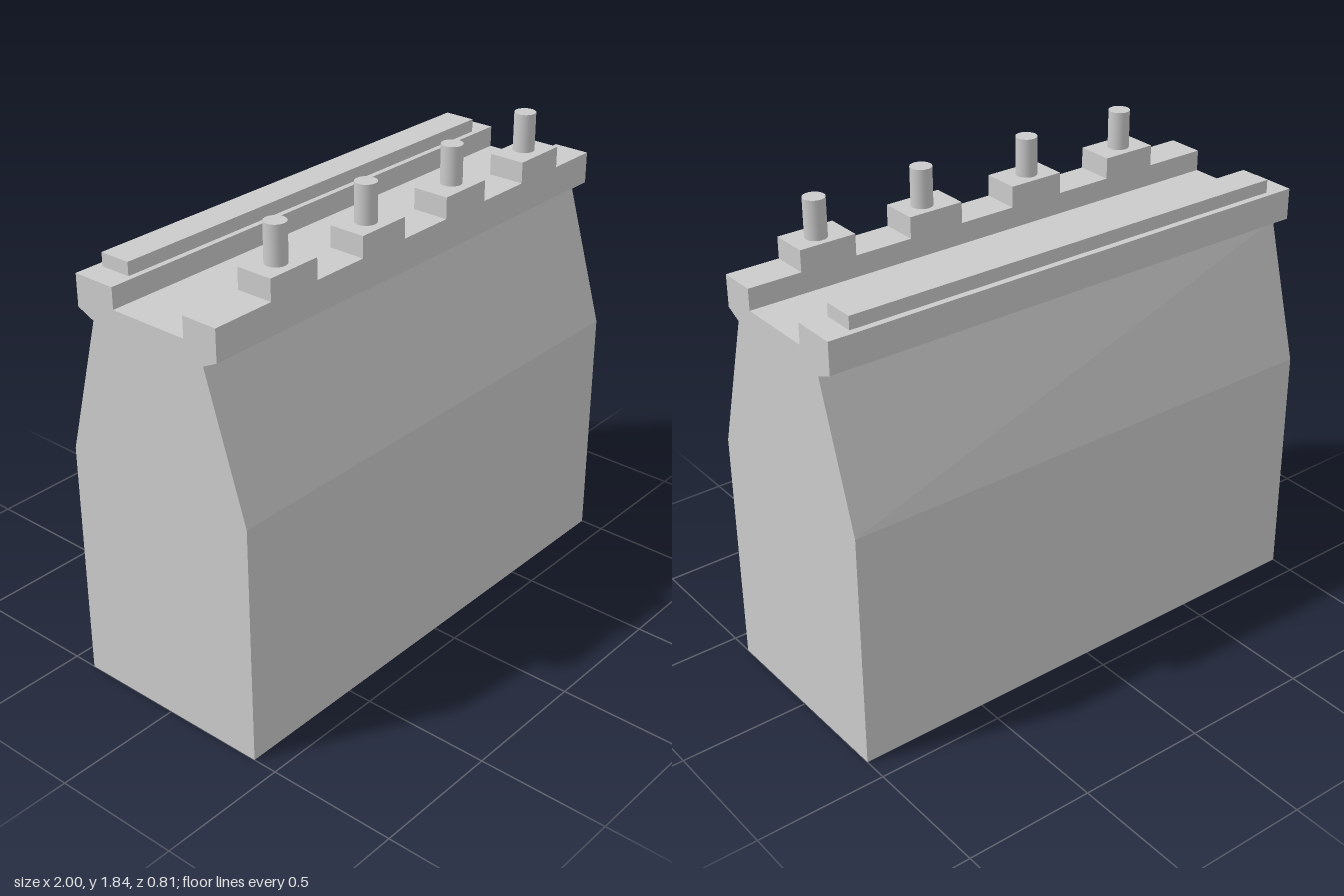
import * as THREE from 'three';

const grey = new THREE.MeshStandardMaterial({ color: 0xcccccc });

// The rails run very slightly askew along the length of the body
function skew(geometry) {
  const p = geometry.attributes.position;
  for (let i = 0; i < p.count; i++) {
    if (p.getY(i) < 1) continue;
    const z = p.getZ(i);
    p.setZ(i, z + p.getX(i) * (z < 0 ? 0.01 : 0.005));
  }
  geometry.computeVertexNormals();
  return geometry;
}

function addMesh(parent, name, geometry) {
  const mesh = new THREE.Mesh(geometry, grey);
  mesh.name = name;
  parent.add(mesh);
  return mesh;
}

// Box given by its limits on each axis
function boxBetween(x0, x1, y0, y1, z0, z1) {
  return new THREE.BoxGeometry(x1 - x0, y1 - y0, z1 - z0)
    .translate((x0 + x1) / 2, (y0 + y1) / 2, (z0 + z1) / 2);
}

export function createModel() {
  const model = new THREE.Group();
  model.name = 'wallSection';

  // Body with tapered shoulders, necks, two rails and the channel between: [z, y]
  const profile = [
    [0.405, 0], [-0.405, 0], [-0.405, 0.93], [-0.25, 1.46], [-0.32, 1.49],
    [-0.32, 1.61], [-0.15, 1.61], [-0.15, 1.53], [0.163, 1.53], [0.163, 1.61],
    [0.305, 1.61], [0.305, 1.49], [0.245, 1.46], [0.405, 0.93],
  ];
  const shape = new THREE.Shape(profile.map(([z, y]) => new THREE.Vector2(-z, y)));
  const body = new THREE.ExtrudeGeometry(shape, { depth: 2, bevelEnabled: false })
    .translate(0, 0, -1)
    .rotateY(Math.PI / 2);
  addMesh(model, 'body', skew(body));

  // Low strip along the back rail
  addMesh(model, 'backStrip', skew(boxBetween(-0.907, 0.905, 1.6, 1.66, -0.295, -0.172)));

  // Raised blocks on the front rail, each with a round post: [left, right, post x]
  const posts = new THREE.Group();
  posts.name = 'posts';
  model.add(posts);
  const layout = [
    [-0.753, -0.535, -0.65],
    [-0.31, -0.092, -0.208],
    [0.134, 0.353, 0.257],
    [0.578, 0.796, 0.693],
  ];
  for (const [x0, x1, px] of layout) {
    addMesh(posts, 'block', skew(boxBetween(x0, x1, 1.6, 1.69, 0.163, 0.305)));
    const post = addMesh(posts, 'post', new THREE.CylinderGeometry(0.04, 0.04, 0.155, 32));
    post.position.set(px, 1.7575, 0.23);
  }

  return model;
}
